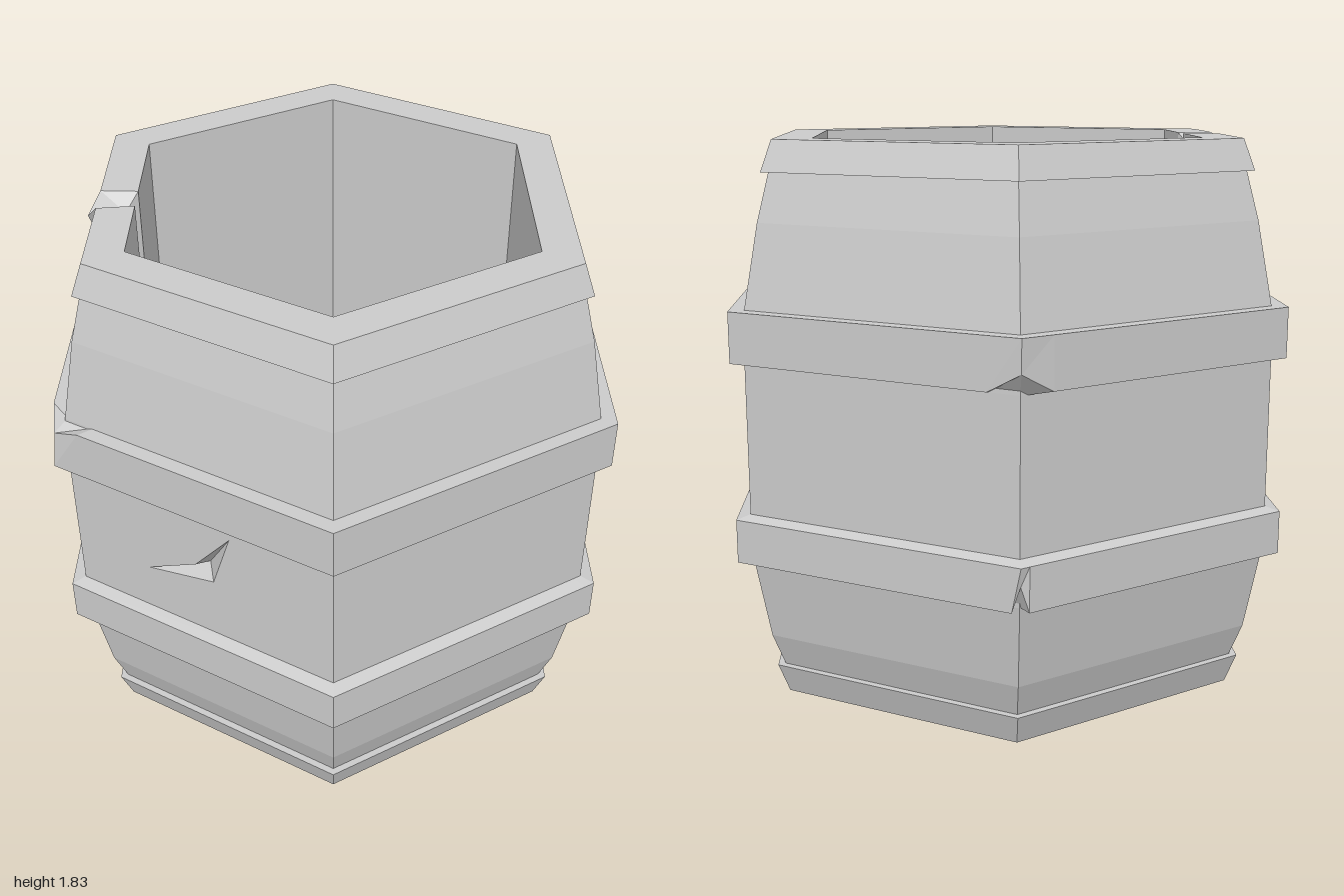
import * as THREE from 'three';

const SIDES = 6;
const TURN = -0.203; // yaw of the first corner, measured from +z towards +x
const material = new THREE.MeshStandardMaterial({ color: 0xcccccc, flatShading: true, side: THREE.DoubleSide });

function corner(radius, y, index) {
  const a = TURN + (index * Math.PI * 2) / SIDES;
  return new THREE.Vector3(Math.sin(a) * radius, y, Math.cos(a) * radius);
}

function makeMesh(name, points) {
  const geometry = new THREE.BufferGeometry().setFromPoints(points);
  geometry.computeVertexNormals();
  const mesh = new THREE.Mesh(geometry, material);
  mesh.name = name;
  return mesh;
}

// Hexagonal loft through [radius, y] rings. splits(side) divides each side;
// nudge(point, ring, side, t) moves single points for chips and notches.
function hexLoft(name, rings, splits, nudge, skip = () => false) {
  const points = [];
  const at = (ring, side, t) => {
    const [r, y] = rings[ring];
    const s = t === 1 ? (side + 1) % SIDES : side;
    const u = t === 1 ? 0 : t;
    const p = corner(r, y, s).lerp(corner(r, y, s + 1), u);
    nudge(p, ring, s, u);
    return p;
  };
  for (let ring = 0; ring < rings.length - 1; ring++) {
    for (let side = 0; side < SIDES; side++) {
      if (skip(ring, side)) continue;
      const ts = splits(side);
      for (let k = 0; k < ts.length - 1; k++) {
        const a = at(ring, side, ts[k]);
        const b = at(ring, side, ts[k + 1]);
        const c = at(ring + 1, side, ts[k + 1]);
        const d = at(ring + 1, side, ts[k]);
        if (rings[ring][0] > 0) points.push(a, b, c);
        if (rings[ring + 1][0] > 0) points.push(a, c, d);
        else if (rings[ring][0] > 0) continue;
      }
    }
  }
  return makeMesh(name, points);
}

// Iron band with one or more chipped corners: [ring, corner, scale, dy]
function band(name, rings, chipWidth, chips) {
  return hexLoft(name, rings, () => [0, chipWidth, 1 - chipWidth, 1], (p, ring, side, t) => {
    for (const [r, c, scale, dy] of chips) {
      if (ring === r && side === c && t === 0) {
        p.x *= scale;
        p.z *= scale;
        p.y += dy;
      }
    }
  });
}

export function createModel() {
  const barrel = new THREE.Group();
  barrel.name = 'barrel';

  // Body: underside, flared rims, staves, hollow inside and floor
  const radius = 0.97, low = 0.64, high = 1.13;
  const profile = [
    [0, 0], [0.853, 0], [0.893, 0.1], [0.866, 0.1], [0.91, 0.21], [0.964, 0.485],
    [radius, low], [radius, high],
    [0.964, 1.305], [0.91, 1.575], [0.866, 1.73], [0.893, 1.73], [0.853, 1.83],
    [0.714, 1.83], [0.714, 0.1], [0, 0.1],
  ];
  const notchSide = 4, gougeSide = 5, rimOuter = 12, rimInner = 13;
  barrel.add(hexLoft('body', profile,
    (side) => (side === notchSide ? [0, 0.47, 0.5, 0.605, 1] : [0, 1]),
    (p, ring, side, t) => {
      // V-shaped notch across the top rim
      if (side !== notchSide || t !== 0.5) return;
      if (ring === rimOuter) p.set(p.x * 1.06, 1.755, p.z * 1.06);
      if (ring === rimInner) p.set(p.x * 1.07, 1.77, p.z);
    },
    (ring, side) => ring === 6 && side === gougeSide));

  // Gouged middle panel: flat panel with a hole and a sunken splinter
  const gouged = new THREE.Group();
  gouged.name = 'gougedPanel';
  gouged.rotation.y = TURN - Math.PI / SIDES;
  const apothem = radius * Math.cos(Math.PI / SIDES);
  const outline = [[0.118, 1.07], [-0.016, 0.91], [-0.203, 0.812], [0.05, 0.865]];
  const h = radius / 2;
  const shape = new THREE.Shape([[-h, low], [h, low], [h, high], [-h, high]].map(([x, y]) => new THREE.Vector2(x, y)));
  shape.holes.push(new THREE.Path(outline.map(([x, y]) => new THREE.Vector2(x, y))));
  const panel = new THREE.Mesh(new THREE.ShapeGeometry(shape), material);
  panel.name = 'panel';
  panel.position.z = apothem;
  gouged.add(panel);

  const deep = new THREE.Vector3(0, 0.885, apothem - 0.06);
  const dent = [];
  outline.forEach(([x, y], i) => {
    const [nx, ny] = outline[(i + 1) % outline.length];
    dent.push(new THREE.Vector3(x, y, apothem), new THREE.Vector3(nx, ny, apothem), deep);
  });
  gouged.add(makeMesh('gouge', dent));
  barrel.add(gouged);

  // Bands around the belly
  barrel.add(band('lowerBand',
    [[0.955, 0.485], [1.02, 0.485], [1.02, 0.628], [0.955, 0.643]], 0.03,
    [[1, 3, 0.985, 0.08]]));
  barrel.add(band('upperBand',
    [[0.955, 1.126], [1.02, 1.14], [1.02, 1.305], [0.955, 1.305]], 0.11,
    [[1, 3, 0.995, 0.06], [2, 5, 0.985, -0.04]]));

  return barrel;
}
